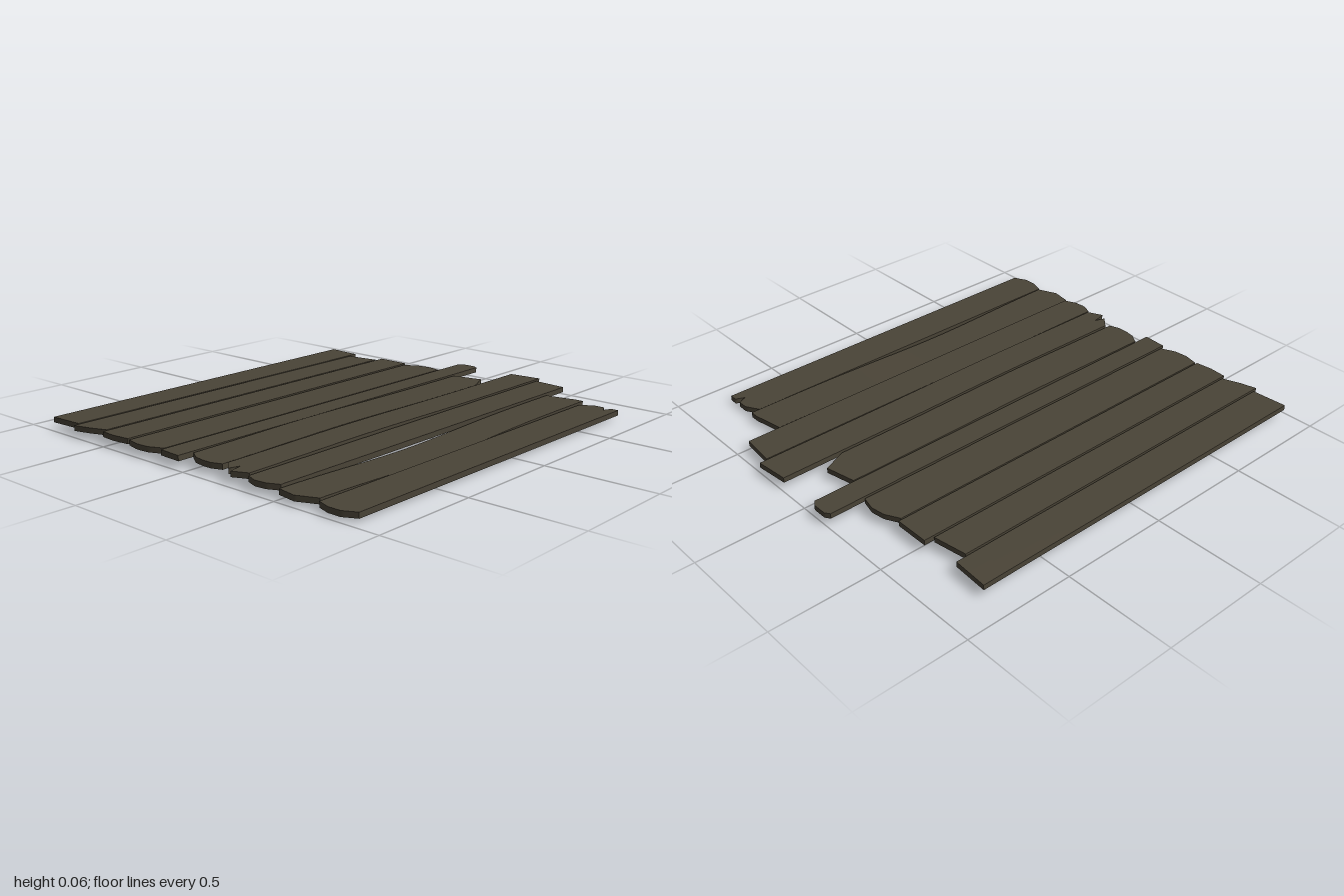
import * as THREE from 'three';

const BACK = -0.87, GAP = 0.01, THICKNESS = 0.024, ROWS = 20;

// Planks from back to front. front: z of the front edge; y: underside height;
// left, right: end outlines as x values evenly spaced from back to front edge.
const PLANKS = [
  { front: -0.705, y: 0.035, left: [-0.98, -0.97], right: [0.81, 0.8] },
  { front: -0.54, y: 0.035, left: [-1, -0.98, -0.95], right: [0.745, 0.77] },
  { front: -0.372, y: 0.035, left: [-0.975, -0.98, -0.97], right: [0.81, 0.81] },
  { front: -0.167, y: 0.032, left: [-0.97, -0.985, -0.98, -0.95], right: [0.79, 0.825, 0.835, 0.82] },
  { front: -0.047, y: 0.034, left: [-0.975, -0.98], right: [0.98, 0.995, 0.995, 0.995, 0.995, 0.98] },
  { front: 0.153, y: 0.03, bow: 0.008, left: [-0.91, -0.94, -0.948, -0.948, -0.93], right: [0.78, 0.79, 0.8, 0.81, 0.7] },
  { front: 0.317, y: 0.034, bow: 0.006, left: [-0.91, -0.98, -0.945], right: [0.985, 1], leftNotch: { at: 0.45, depth: 0.065 } },
  { front: 0.488, y: 0.03, left: [-0.96, -0.98, -0.975, -0.95], right: [0.96, 0.945] },
  { front: 0.678, y: 0.023, bow: -0.019, left: [-0.97, -0.985, -0.945], right: [0.785, 0.793, 0.8, 0.81, 0.81] },
  { front: 0.867, y: 0.016, left: [-0.96, -0.98, -0.98, -0.95], right: [0.765, 0.8, 0.8, 0.8], rightNotch: { at: 0.7, depth: -0.04 } },
];

// x of an end outline at fraction v across the plank, with an optional split.
function endX(xs, v, notch) {
  const s = v * (xs.length - 1);
  const i = Math.min(Math.floor(s), xs.length - 2);
  const x = THREE.MathUtils.lerp(xs[i], xs[i + 1], s - i);
  return notch ? x + notch.depth * Math.max(0, 1 - Math.abs(v - notch.at) / 0.1) : x;
}

// A box whose ends follow the outlines and whose middle bows gently.
function plankGeometry({ front, y, bow = 0, left, right, leftNotch, rightNotch }, back) {
  const geo = new THREE.BoxGeometry(1, THICKNESS, 1, 16, 1, ROWS);
  const pos = geo.attributes.position;
  for (let i = 0; i < pos.count; i++) {
    const u = pos.getX(i) + 0.5, v = pos.getZ(i) + 0.5;
    const x = THREE.MathUtils.lerp(endX(left, v, leftNotch), endX(right, v, rightNotch), u);
    const bend = bow * Math.exp(-(((x + 0.25) / 0.45) ** 2));
    pos.setXYZ(i, x, y + THICKNESS / 2 + pos.getY(i) + bend, THREE.MathUtils.lerp(back, front, v));
  }
  geo.computeVertexNormals();
  return geo;
}

export function createModel() {
  const group = new THREE.Group();
  group.name = 'plankFloor';
  const wood = new THREE.MeshStandardMaterial({ color: 0x4a4437 });
  wood.name = 'weatheredWood';
  PLANKS.forEach((plank, i) => {
    const back = i === 0 ? BACK : PLANKS[i - 1].front + GAP;
    const mesh = new THREE.Mesh(plankGeometry(plank, back), wood);
    mesh.name = `plank${i + 1}`;
    group.add(mesh);
  });
  return group;
}
